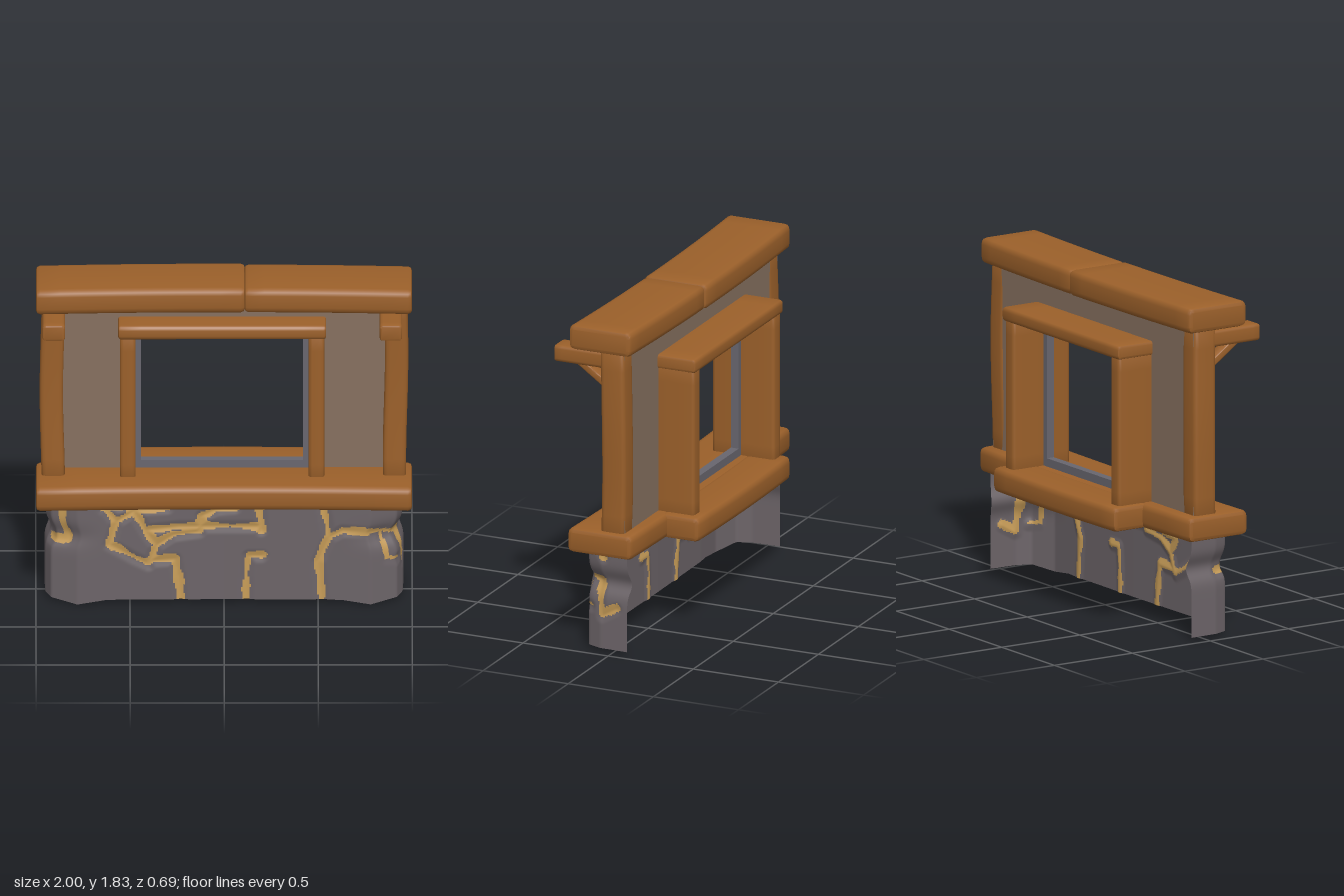
import * as THREE from 'three';
import { toCreasedNormals } from 'three/addons/utils/BufferGeometryUtils.js';

const mat = (name, color, extra = {}) => Object.assign(new THREE.MeshStandardMaterial({ color, ...extra }), { name });

// Rounded timber filling the given box, its grain running along one axis, bent by an optional rule
function timber(name, material, axis, [x0, x1], [y0, y1], [z0, z1], r = 0.02, rule) {
  const size = { x: x1 - x0, y: y1 - y0, z: z1 - z0 };
  const w = axis === 'x' ? size.z : size.x;
  const h = axis === 'y' ? size.z : size.y;
  const c = r * 1.6, s = new THREE.Shape();
  s.moveTo(-w / 2 + c, -h / 2);
  s.lineTo(w / 2 - c, -h / 2).quadraticCurveTo(w / 2, -h / 2, w / 2, -h / 2 + c);
  s.lineTo(w / 2, h / 2 - c).quadraticCurveTo(w / 2, h / 2, w / 2 - c, h / 2);
  s.lineTo(-w / 2 + c, h / 2).quadraticCurveTo(-w / 2, h / 2, -w / 2, h / 2 - c);
  s.lineTo(-w / 2, -h / 2 + c).quadraticCurveTo(-w / 2, -h / 2, -w / 2 + c, -h / 2);
  let geo = new THREE.ExtrudeGeometry(s, {
    depth: size[axis] - 2 * r, steps: 10, curveSegments: 3,
    bevelThickness: r, bevelSize: r, bevelOffset: -r, bevelSegments: 2,
  });
  geo.translate(0, 0, r - size[axis] / 2);
  if (axis === 'x') geo.rotateY(Math.PI / 2);
  if (axis === 'y') geo.rotateX(-Math.PI / 2);
  geo.translate((x0 + x1) / 2, (y0 + y1) / 2, (z0 + z1) / 2);
  if (rule) {
    const p = geo.attributes.position, v = new THREE.Vector3();
    for (let i = 0; i < p.count; i++) {
      rule(v.fromBufferAttribute(p, i));
      p.setXYZ(i, v.x, v.y, v.z);
    }
  }
  geo = toCreasedNormals(geo, 0.75);
  const mesh = new THREE.Mesh(geo, material);
  mesh.name = name;
  return mesh;
}

// Mortar joints as paths of [distance along wall, height]
const joints = [
  [[-0.86, 0.57], [-0.87, 0.45], [-0.86, 0.36], [-0.97, 0.35]],
  [[-0.64, 0.56], [-0.57, 0.47], [-0.61, 0.34], [-0.48, 0.26], [-0.40, 0.22]],
  [[-0.57, 0.47], [-0.48, 0.53], [-0.42, 0.42], [-0.24, 0.44], [-0.08, 0.44], [0.18, 0.44]],
  [[-0.64, 0.55], [-0.48, 0.54], [-0.30, 0.55]],
  [[-0.42, 0.42], [-0.36, 0.33], [-0.40, 0.22]],
  [[-0.36, 0.33], [-0.27, 0.39], [-0.13, 0.41], [-0.12, 0.50], [-0.04, 0.54], [0.06, 0.55]],
  [[-0.40, 0.24], [-0.26, 0.25], [-0.24, 0.14], [-0.23, 0.01]],
  [[0.19, 0.57], [0.20, 0.42]],
  [[0.12, 0.01], [0.12, 0.15], [0.13, 0.27], [0.20, 0.27]],
  [[0.52, 0.01], [0.50, 0.24], [0.56, 0.38], [0.53, 0.55]],
  [[0.56, 0.38], [0.63, 0.42], [0.86, 0.41], [0.98, 0.39], [1.01, 0.20], [1.10, 0.25]],
  [[0.87, 0.41], [0.88, 0.25], [0.94, 0.24]],
  [[1.0, 0.57], [1.02, 0.53]],
];

function jointDistance(u, y) {
  let best = 1;
  for (const path of joints) for (let i = 1; i < path.length; i++) {
    const [ax, ay] = path[i - 1], dx = path[i][0] - ax, dy = path[i][1] - ay;
    const t = THREE.MathUtils.clamp(((u - ax) * dx + (y - ay) * dy) / (dx * dx + dy * dy), 0, 1);
    best = Math.min(best, Math.hypot(u - ax - t * dx, y - ay - t * dy));
  }
  return best;
}

// Open stone shell: a front wall whose two ends curl to the back
function stoneBase(stone, mortar) {
  const plan = [[0, 0, 0.18], [0.55, 0.55, 0.185], [0.78, 0.78, 0.205], [0.93, 0.92, 0.15], [1.0, 0.95, 0.07], [1.17, 0.955, -0.09]];
  const place = (u, y) => {
    const a = Math.abs(u);
    let k = 1;
    while (k < plan.length - 1 && a > plan[k][0]) k++;
    const p = plan[k - 1], q = plan[k], t = (a - p[0]) / (q[0] - p[0]);
    const corner = THREE.MathUtils.smoothstep(a, 0.6, 0.9);
    const waist = 0.03 * corner * Math.exp(-(((y - 0.39) / 0.06) ** 2));
    const groove = 0.01 * Math.max(0, 1 - jointDistance(u, y) / 0.04);
    const x = p[1] + t * (q[1] - p[1]) - waist - groove * corner;
    return [Math.sign(u) * x, y, p[2] + t * (q[2] - p[2]) - waist * 0.5 - groove * (1 - corner)];
  };
  const U = 260, V = 64, pos = [], faces = [[], []];
  for (let j = 0; j <= V; j++) for (let i = 0; i <= U; i++) {
    const u = (i / U * 2 - 1) * 1.17;
    const foot = 0.02 * Math.min(1, Math.abs(Math.abs(u) - 0.78) / 0.15);
    pos.push(...place(u, foot + (0.57 - foot) * j / V));
  }
  for (let j = 0; j < V; j++) for (let i = 0; i < U; i++) {
    const u = ((i + 0.5) / U * 2 - 1) * 1.17, y = 0.57 * (j + 0.5) / V;
    const width = 0.019 + 0.006 * Math.sin(u * 23 + y * 9) + 0.005 * Math.sin(y * 41 - u * 13);
    const a = j * (U + 1) + i, b = a + U + 1;
    faces[jointDistance(u, y) < width ? 1 : 0].push(a, a + 1, b + 1, a, b + 1, b);
  }
  const geo = new THREE.BufferGeometry();
  geo.setAttribute('position', new THREE.Float32BufferAttribute(pos, 3));
  geo.setIndex(faces.flat());
  geo.addGroup(0, faces[0].length, 0);
  geo.addGroup(faces[0].length, faces[1].length, 1);
  geo.computeVertexNormals();
  const mesh = new THREE.Mesh(geo, [stone, mortar]);
  mesh.name = 'stoneBase';
  return mesh;
}

// Upright plate with a rectangular opening
function pane(name, material, [x0, x1, y0, y1], [a0, a1, b0, b1], z0, z1) {
  const rect = (path, l, r, b, t) => path.moveTo(l, b).lineTo(r, b).lineTo(r, t).lineTo(l, t).closePath();
  const s = new THREE.Shape(), hole = new THREE.Path();
  rect(s, x0, x1, y0, y1);
  rect(hole, a0, a1, b0, b1);
  s.holes.push(hole);
  const mesh = new THREE.Mesh(new THREE.ExtrudeGeometry(s, { depth: z1 - z0, bevelEnabled: false }), material);
  mesh.position.z = z0;
  mesh.name = name;
  return mesh;
}

export function createModel() {
  const wood = mat('wood', 0x9b602a);
  const plaster = mat('plaster', 0x86705f);
  const stone = mat('stone', 0x6c6468, { side: THREE.DoubleSide });
  const mortar = mat('mortar', 0xc89d58, { side: THREE.DoubleSide });
  const metal = mat('windowMetal', 0x68666e);
  const g = new THREE.Group();
  g.name = 'windowWall';

  g.add(stoneBase(stone, mortar));

  // Plaster wall and window frame
  g.add(pane('wall', plaster, [-0.955, 0.955, 0.66, 1.71], [-0.5, 0.48, 0.68, 1.52], -0.076, -0.05));
  g.add(pane('windowFrame', metal, [-0.48, 0.46, 0.67, 1.5], [-0.44, 0.42, 0.73, 1.45], -0.09, -0.045));

  // Top beam in two bowed lengths, and the sills
  const bow = (v) => { v.z -= 0.027 * (1 - v.x * v.x); };
  g.add(timber('topBeamRight', wood, 'x', [-1, 0.112], [1.69, 1.83], [-0.135, 0.237], 0.022, bow));
  g.add(timber('topBeamLeft', wood, 'x', [0.108, 1], [1.69, 1.828], [-0.128, 0.235], 0.022, bow));
  g.add(timber('frontSill', wood, 'x', [-1, 1], [0.55, 0.685], [-0.135, 0.243], 0.022,
    (v) => { v.z -= 0.02 * (1 - v.x * v.x); }));
  g.add(timber('backSill', wood, 'x', [-0.577, 0.577], [0.55, 0.685], [-0.333, -0.1], 0.022,
    (v) => { v.z -= 0.012 * (1 - 3 * v.x * v.x); }));

  // Window surround
  g.add(timber('rightJamb', wood, 'y', [-0.553, -0.47], [0.66, 1.51], [-0.285, 0.08], 0.012));
  g.add(timber('leftJamb', wood, 'y', [0.45, 0.533], [0.66, 1.51], [-0.285, 0.08], 0.012));
  g.add(timber('lintel', wood, 'x', [-0.563, 0.543], [1.485, 1.562], [-0.297, 0.092], 0.014));

  // Corner posts with projecting brackets and slanted braces
  for (const side of [-1, 1]) {
    const label = side < 0 ? 'right' : 'left';
    const cx = side * 0.912, bx = side < 0 ? -0.905 : 0.887;
    g.add(timber(label + 'Post', wood, 'y', [cx - 0.062, cx + 0.062], [0.66, 1.71], [-0.079, 0.06], 0.016,
      (v) => { v.x += 0.006 * Math.sin(v.y * 5 + side); v.z += 0.006 * Math.sin(v.y * 4); }));
    g.add(timber(label + 'Bracket', wood, 'z', [bx - 0.06, bx + 0.06], [1.59, 1.682], [-0.02, 0.345], 0.012));
    g.add(timber(label + 'Brace', wood, 'z', [bx - 0.036, bx + 0.036], [1.46, 1.51], [0.03, 0.23], 0.006,
      (v) => { v.y += (v.z - 0.04) * 0.7; }));
  }
  return g;
}
